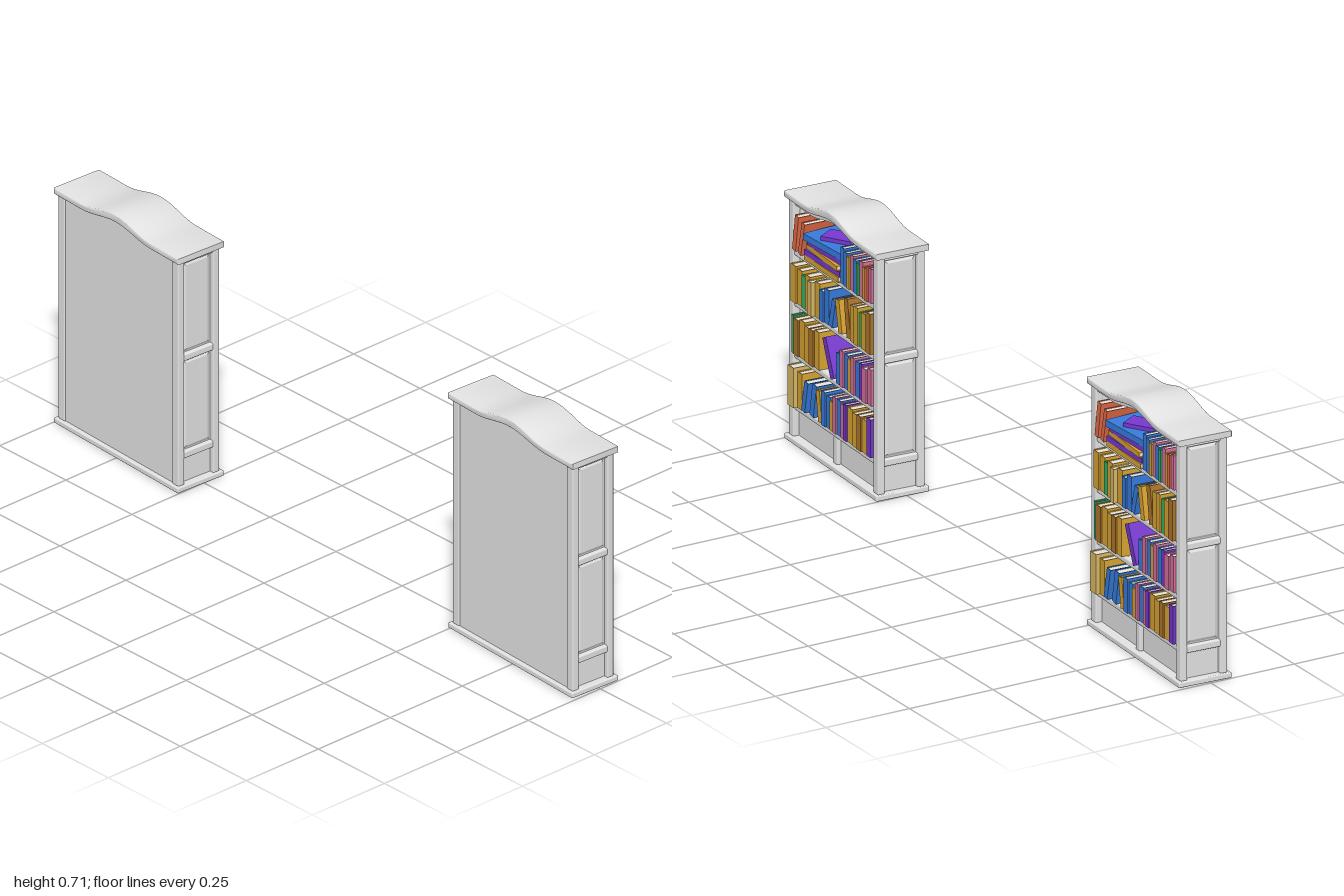
import * as THREE from 'three';
import { mergeGeometries, toCreasedNormals } from 'three/addons/utils/BufferGeometryUtils.js';
import { RoundedBoxGeometry } from 'three/addons/geometries/RoundedBoxGeometry.js';

const paint = (name, color) => {
  const m = new THREE.MeshStandardMaterial({ color });
  m.name = name;
  return m;
};
const grey = paint('paintedWood', 0xe2e2e2);
const paper = paint('paper', 0xe4e0d6);
const covers = {
  g: paint('goldCover', 0xd8a431), t: paint('tanCover', 0xdab968),
  b: paint('blueCover', 0x377cdc), v: paint('violetCover', 0x7638d0),
  p: paint('pinkCover', 0xd8719f), e: paint('greenCover', 0x30b564),
  r: paint('redCover', 0xe66c48), n: paint('brownCover', 0xae762c),
};

function add(parent, name, geo, mat, x = 0, y = 0, z = 0) {
  const m = new THREE.Mesh(geo, mat);
  m.name = name;
  m.position.set(x, y, z);
  parent.add(m);
  return m;
}
// box given by its bottom height, optionally rounded
function block(parent, name, w, h, d, x, y, z, r = 0) {
  const geo = r ? new RoundedBoxGeometry(w, h, d, 3, r) : new THREE.BoxGeometry(w, h, d);
  return add(parent, name, geo, grey, x, y + h / 2, z);
}

// wavy outline shared by the cornice, back board and arch
const swell = x => (Math.abs(x) < 0.14 ? 0.0125 * (1 + Math.cos(Math.PI * x / 0.14)) : 0);
function waveBoard(halfW, bottom, top, depth, bevel = 0) {
  const pts = [];
  const n = 32;
  for (let i = 0; i <= n; i++) {
    const x = -halfW + 2 * halfW * i / n;
    pts.push(new THREE.Vector2(x, bottom(x)));
  }
  for (let i = n; i >= 0; i--) {
    const x = -halfW + 2 * halfW * i / n;
    pts.push(new THREE.Vector2(x, top(x)));
  }
  const geo = new THREE.ExtrudeGeometry(new THREE.Shape(pts), {
    depth: depth - 2 * bevel, bevelEnabled: bevel > 0, bevelThickness: bevel,
    bevelSize: bevel, bevelOffset: -bevel, bevelSegments: 3,
  });
  return toCreasedNormals(geo.translate(0, 0, bevel - depth / 2), 0.7);
}

// panel with sloping edges, facing +z
function raisedPanel(w, h) {
  const s = new THREE.Shape();
  const a = w / 2 - 0.011, b = h / 2 - 0.011;
  s.moveTo(-a, -b); s.lineTo(a, -b); s.lineTo(a, b); s.lineTo(-a, b);
  return new THREE.ExtrudeGeometry(s, {
    depth: 0.001, bevelThickness: 0.006, bevelSize: 0.011, bevelSegments: 1,
  });
}

// upright book standing on y = 0, spine towards -z
function makeBook(color, w, h, d) {
  const book = new THREE.Group();
  book.name = 'book';
  const t = 0.0022;
  const parts = [-1, 1].map(s =>
    new THREE.BoxGeometry(t, h, d).translate(s * (w - t) / 2, h / 2, 0));
  parts.push(new THREE.BoxGeometry(w - 2 * t, h, t).translate(0, h / 2, (t - d) / 2));
  add(book, 'cover', mergeGeometries(parts), covers[color]);
  add(book, 'pages', new THREE.BoxGeometry(w - 2 * t, h - 0.005, d - 0.006), paper, 0, h / 2, -0.001);
  return book;
}

// rows run from +x to -x: cover, thickness, height, lean; '-' leaves a gap
const rows = [
  [0.108, [['t', 0.026, 0.11], ['g', 0.02, 0.1], ['b', 0.016, 0.088, 0.2], ['b', 0.018, 0.092, 0.18],
    ['g', 0.016, 0.085, -0.15], ['b', 0.018, 0.095], ['b', 0.017, 0.088], ['g', 0.015, 0.08],
    ['p', 0.015, 0.1], ['b', 0.018, 0.098], ['p', 0.014, 0.094], ['v', 0.014, 0.1], ['g', 0.022, 0.097],
    ['g', 0.022, 0.092], ['n', 0.02, 0.096], ['g', 0.022, 0.092], ['v', 0.018, 0.105]]],
  [0.25, [['e', 0.01, 0.104], ['n', 0.024, 0.1], ['g', 0.024, 0.104], ['g', 0.022, 0.098],
    ['n', 0.02, 0.1], ['g', 0.022, 0.104], ['-', 0.02], ['v', 0.018, 0.11, -0.42], ['-', 0.006],
    ['b', 0.018, 0.085], ['p', 0.016, 0.1], ['b', 0.018, 0.096], ['g', 0.016, 0.09], ['p', 0.015, 0.102],
    ['b', 0.02, 0.096], ['v', 0.014, 0.1], ['p', 0.02, 0.094], ['p', 0.018, 0.1]]],
  [0.393, [['g', 0.024, 0.103], ['g', 0.022, 0.098], ['e', 0.018, 0.09], ['g', 0.024, 0.1],
    ['t', 0.018, 0.094], ['g', 0.022, 0.098], ['b', 0.018, 0.085], ['b', 0.02, 0.096],
    ['b', 0.017, 0.08, 0.25], ['g', 0.018, 0.09, -0.2], ['n', 0.018, 0.106, -0.15], ['g', 0.02, 0.1],
    ['g', 0.018, 0.105], ['e', 0.013, 0.095], ['g', 0.022, 0.1], ['n', 0.02, 0.112]]],
  [0.533, [['r', 0.019, 0.1, 0.16], ['r', 0.016, 0.094, 0.22], ['-', 0.188], ['b', 0.02, 0.1],
    ['b', 0.018, 0.094], ['g', 0.015, 0.088], ['p', 0.018, 0.097], ['b', 0.018, 0.092],
    ['e', 0.013, 0.088], ['p', 0.018, 0.098], ['g', 0.014, 0.088], ['r', 0.015, 0.092], ['p', 0.015, 0.095]]],
];

function addBooks(unit) {
  rows.forEach(([y, list], row) => {
    // widths are spread so that each row fills its shelf
    let upright = 0, leaning = 0;
    for (const [, w, h = 0, lean = 0] of list) {
      upright += w * Math.cos(lean);
      leaning += h * Math.sin(Math.abs(lean));
    }
    const spread = (0.426 - leaning) / upright;
    let x = 0.213;
    list.forEach(([color, width, h = 0, lean = 0], i) => {
      const w = width * spread;
      if (color === '-') { x -= w; return; }
      const c = Math.cos(lean), s = Math.sin(Math.abs(lean));
      const d = 0.09 + 0.006 * ((i * 5 + row) % 3);
      const front = color === 't' ? 0.086 : 0.073 + 0.002 * ((i + row) % 3);
      const book = makeBook(color, w - 0.0006, h, d);
      book.position.set(x - w * c / 2 - (lean < 0 ? h * s : 0), y + w * s / 2, d / 2 - front);
      book.rotation.z = lean;
      unit.add(book);
      x -= w * c + h * s;
    });
  });
  // lying stack on the top shelf
  const stack = new THREE.Group();
  stack.name = 'bookStack';
  let y = 0.533;
  [['g', 0.015, 0.185, 0], ['v', 0.015, 0.18, 0.03], ['g', 0.014, 0.178, -0.04],
    ['v', 0.014, 0.165, 0.05], ['b', 0.018, 0.18, 0.1], ['v', 0.011, 0.09, 0.6]].forEach(([c, w, len, turn]) => {
    const lying = new THREE.Group();
    lying.name = 'lyingBook';
    const book = makeBook(c, w, len, len * 0.64);
    book.rotation.z = Math.PI / 2;
    book.position.x = len / 2;
    lying.add(book);
    lying.position.set(0.046, y + w / 2, -0.02);
    lying.rotation.y = turn;
    stack.add(lying);
    y += w;
  });
  unit.add(stack);
}

function makeBookcase() {
  const unit = new THREE.Group();
  unit.name = 'bookcase';

  // plinth and wavy cornice
  block(unit, 'plinth', 0.498, 0.015, 0.154, 0, 0, 0, 0.003);
  add(unit, 'cornice', waveBoard(0.25, x => 0.666 + 0.8 * swell(x), x => 0.683 + swell(x), 0.154, 0.003), grey);

  // closed wall and the arch over the open side
  add(unit, 'wallBoard', waveBoard(0.225, () => 0.014, x => 0.669 + 0.8 * swell(x), 0.008), grey, 0, 0, 0.061);
  add(unit, 'archBoard', waveBoard(0.225, x => 0.653 + 0.8 * swell(x), x => 0.669 + 0.8 * swell(x), 0.014), grey, 0, 0, -0.056);

  // corner posts, side rails and side panels
  for (const sx of [-1, 1]) {
    for (const sz of [-1, 1]) block(unit, 'cornerPost', 0.026, 0.656, 0.021, sx * 0.228, 0.013, sz * 0.058, 0.004);
    block(unit, 'sideBoard', 0.008, 0.655, 0.11, sx * 0.224, 0.013, 0);
    for (const [y, h] of [[0.088, 0.02], [0.371, 0.02], [0.655, 0.013]]) {
      block(unit, 'sideRail', 0.018, h, 0.1, sx * 0.231, y, 0, 0.004);
    }
    for (const [lo, hi] of [[0.108, 0.371], [0.391, 0.655]]) {
      const panel = add(unit, 'sidePanel', raisedPanel(0.094, hi - lo), grey, sx * 0.2255, (lo + hi) / 2, 0);
      panel.rotation.y = sx * Math.PI / 2;
    }
  }

  // shelves with rounded lips
  for (const [y] of rows) {
    block(unit, 'shelf', 0.442, 0.012, 0.115, 0, y - 0.012, 0.002);
    block(unit, 'shelfLip', 0.436, 0.02, 0.016, 0, y - 0.02, -0.058, 0.007);
  }

  // recessed lower panels
  block(unit, 'lowerPanel', 0.44, 0.078, 0.006, 0, 0.013, -0.048);
  block(unit, 'lowerStile', 0.02, 0.075, 0.014, 0, 0.014, -0.056, 0.003);

  addBooks(unit);
  return unit;
}

export function createModel() {
  const model = new THREE.Group();
  model.name = 'bookcasePair';
  for (const x of [-0.746, 0.746]) {
    const unit = makeBookcase();
    unit.position.x = x;
    unit.rotation.y = -0.05;
    model.add(unit);
  }
  return model;
}
